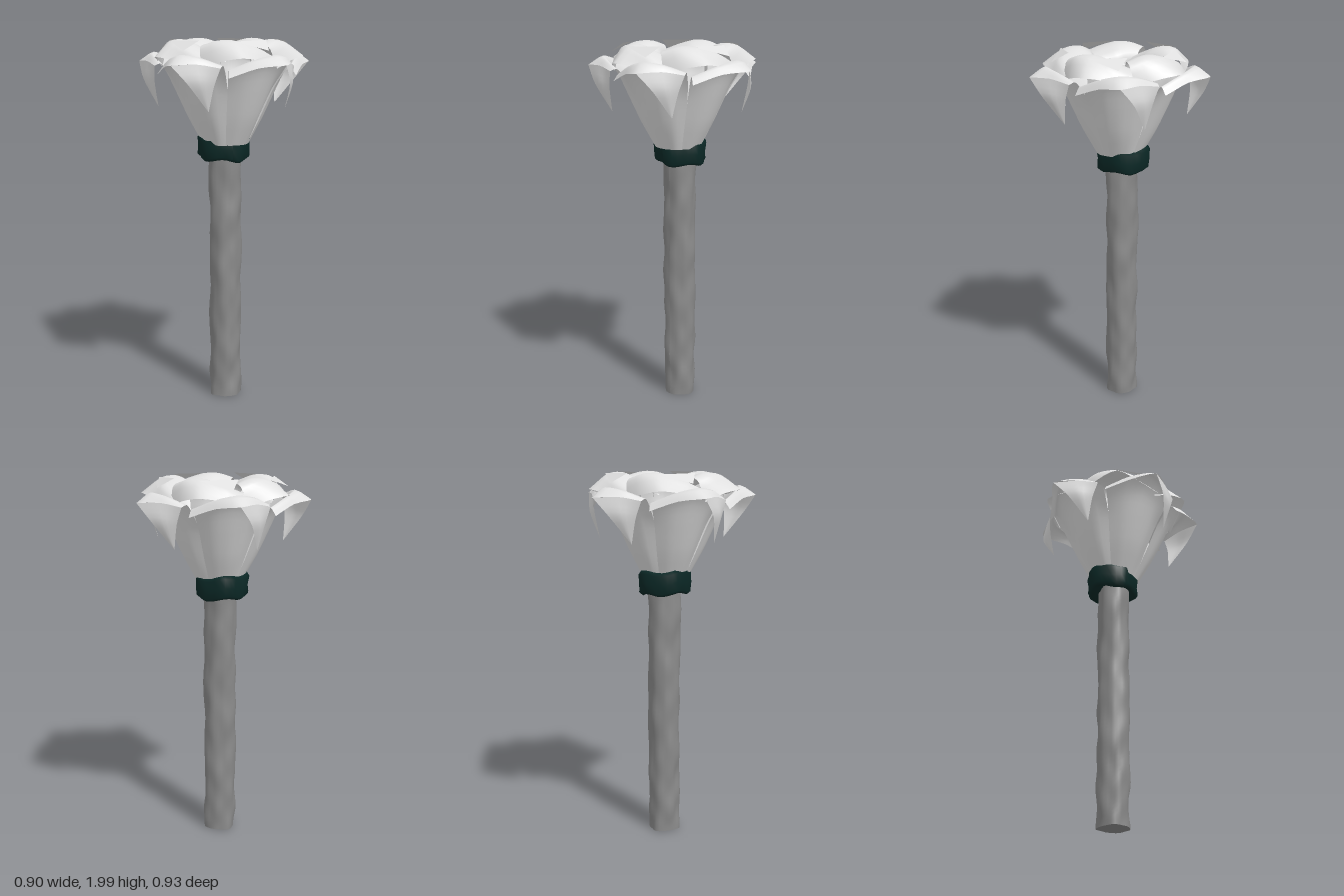
import * as THREE from 'three';

const CX = -0.05, CZ = -0.018;
const petalMat = new THREE.MeshStandardMaterial({ color: 0xe0e0e0, side: THREE.DoubleSide });
petalMat.name = 'petal white';
const stemMat = new THREE.MeshStandardMaterial({ color: 0x8a8a8a });
stemMat.name = 'stem grey';
const collarMat = new THREE.MeshStandardMaterial({ color: 0x0b2826 });
collarMat.name = 'collar dark green';

// point given as angle in degrees, radius and height
function polar([deg, r, y]) {
  const a = THREE.MathUtils.degToRad(deg);
  return new THREE.Vector3(r * Math.cos(a), y, r * Math.sin(a));
}
const spline = (pts) => new THREE.CatmullRomCurve3(pts, false, 'catmullrom', 0.4);

// smooth sheet through rows of polar points
function sheet(rows, nu = 12, nv = 16) {
  const across = rows.map((row) => spline(row.map(polar)));
  const geo = new THREE.PlaneGeometry(1, 1, nu, nv);
  const pos = geo.attributes.position;
  for (let i = 0; i <= nu; i++) {
    const along = spline(across.map((c) => c.getPoint(i / nu)));
    for (let j = 0; j <= nv; j++) {
      const p = along.getPoint(j / nv);
      pos.setXYZ(j * (nu + 1) + i, p.x, p.y, p.z);
    }
  }
  geo.computeVertexNormals();
  return geo;
}

// flat triangles from a list of points
function facets(points) {
  const geo = new THREE.BufferGeometry().setFromPoints(points);
  geo.computeVertexNormals();
  return geo;
}

function add(group, name, geo, mat, deg = 0) {
  const mesh = new THREE.Mesh(geo, mat);
  mesh.name = name;
  mesh.rotation.y = -THREE.MathUtils.degToRad(deg);
  group.add(mesh);
  return mesh;
}

export function createModel() {
  const model = new THREE.Group();
  model.name = 'flower';
  const bloom = new THREE.Group();
  bloom.name = 'bloom';
  bloom.position.set(CX, 0, -0.008);
  model.add(bloom);

  // outer petals: a flaring wall rolling over to one pointed corner
  const outer = sheet([
    [[-38, 0.12, 1.43], [-18, 0.125, 1.43], [0, 0.125, 1.43], [18, 0.125, 1.43], [38, 0.12, 1.43]],
    [[-37, 0.18, 1.57], [-18, 0.2, 1.57], [0, 0.205, 1.57], [18, 0.2, 1.57], [37, 0.19, 1.57]],
    [[-36, 0.25, 1.72], [-18, 0.27, 1.72], [0, 0.275, 1.72], [18, 0.27, 1.72], [36, 0.26, 1.72]],
    [[-34, 0.31, 1.81], [-16, 0.32, 1.82], [0, 0.33, 1.84], [17, 0.32, 1.82], [36, 0.31, 1.8]],
    [[-32, 0.35, 1.86], [-15, 0.38, 1.9], [0, 0.4, 1.915], [16, 0.375, 1.89], [36, 0.35, 1.84]],
    [[-30, 0.385, 1.85], [-14, 0.42, 1.87], [0, 0.49, 1.865], [15, 0.415, 1.85], [36, 0.385, 1.8]],
  ]);
  // pointed flap folded down along one side of the corner
  const flap = sheet([
    [[0, 0.49, 1.865], [-14, 0.42, 1.87], [-30, 0.385, 1.85]],
    [[-9, 0.445, 1.77], [-17, 0.42, 1.77], [-25, 0.38, 1.76]],
    [[-20, 0.36, 1.63], [-20, 0.36, 1.63], [-20, 0.36, 1.63]],
  ], 6, 8);

  // inner petals: rise steeply inside the bowl and roll outward to a corner
  const inner = sheet([
    [[-34, 0.08, 1.45], [-15, 0.09, 1.45], [0, 0.09, 1.45], [15, 0.09, 1.45], [34, 0.08, 1.45]],
    [[-46, 0.15, 1.72], [-22, 0.14, 1.72], [0, 0.14, 1.72], [18, 0.15, 1.72], [36, 0.17, 1.72]],
    [[-56, 0.15, 1.88], [-26, 0.125, 1.9], [0, 0.12, 1.91], [18, 0.15, 1.92], [34, 0.2, 1.92]],
    [[-50, 0.24, 1.91], [-26, 0.22, 1.95], [0, 0.21, 1.98], [18, 0.23, 1.98], [34, 0.26, 1.96]],
    [[-48, 0.32, 1.89], [-26, 0.32, 1.94], [-2, 0.31, 1.975], [16, 0.31, 1.97], [32, 0.31, 1.94]],
    [[-46, 0.36, 1.85], [-25, 0.365, 1.88], [-5, 0.415, 1.9], [12, 0.37, 1.88], [28, 0.34, 1.84]],
  ]);
  // small triangular tip standing on each roll
  const tip = facets([
    new THREE.Vector3(0.32, 1.98, 0),
    new THREE.Vector3(0.32, 1.935, -0.18),
    new THREE.Vector3(0.23, 1.985, -0.18),
  ]);

  for (let i = 0; i < 5; i++) {
    add(bloom, 'outerPetal', outer, petalMat, 1 + i * 72);
    add(bloom, 'outerPetalFlap', flap, petalMat, 1 + i * 72);
    add(bloom, 'innerPetal', inner, petalMat, 32 + i * 72);
    add(bloom, 'innerPetalTip', tip, petalMat, 32 + i * 72);
  }

  // pinwheel of folded facets in the heart of the bloom
  const fan = [];
  for (let i = 0; i < 5; i++) {
    const ridge = polar([14 + i * 72, 0.14, 1.92]);
    const valley = polar([38 + i * 72, 0.15, 1.87]);
    const next = polar([86 + i * 72, 0.14, 1.92]);
    const mid = new THREE.Vector3(0, 1.9, 0);
    fan.push(mid, valley, ridge, mid, next, valley);
  }
  add(bloom, 'heart', facets(fan), petalMat);

  // stem with a gnarled, grooved surface
  const stemGeo = new THREE.CylinderGeometry(0.087, 0.084, 1.45, 28, 60);
  const sp = stemGeo.attributes.position;
  for (let i = 0; i < sp.count; i++) {
    const x = sp.getX(i), y = sp.getY(i) + 0.725, z = sp.getZ(i);
    const a = Math.atan2(z, x);
    const low = Math.max(0, 1 - y / 0.5);
    const k = 1 + 0.035 * Math.sin(3 * a + 2 * Math.sin(3 * y))
      + 0.04 * Math.sin(2 * a + 1) * Math.sin(17 * y)
      + 0.03 * Math.sin(7 * a + 1.5 * Math.sin(6 * y))
      + (0.025 + 0.04 * low) * Math.sin(4 * a + 2) * Math.sin(31 * y + 1)
      + 0.02 * Math.sin(24 * y + a);
    sp.setXYZ(i, x * k, y, z * k);
  }
  stemGeo.computeVertexNormals();
  add(model, 'stem', stemGeo, stemMat).position.set(CX, 0, CZ);

  // lumpy collar under the bloom
  const ring = [[0.07, 1.36], [0.12, 1.34], [0.138, 1.355], [0.138, 1.4], [0.142, 1.45],
    [0.13, 1.468], [0.105, 1.462], [0.07, 1.44], [0.07, 1.36]];
  const collarGeo = new THREE.LatheGeometry(ring.map(([r, y]) => new THREE.Vector2(r, y)), 30);
  const cp = collarGeo.attributes.position;
  for (let i = 0; i < cp.count; i++) {
    const x = cp.getX(i), y = cp.getY(i), z = cp.getZ(i);
    const a = Math.atan2(z, x);
    const k = 1 + 0.04 * Math.sin(5 * a + 1) + 0.025 * Math.sin(8 * a + 40 * y);
    cp.setXYZ(i, x * k, y + 0.008 * Math.sin(4 * a) - 0.05 * x, z * k);
  }
  collarGeo.computeVertexNormals();
  add(model, 'collar', collarGeo, collarMat).position.set(CX - 0.005, 0, CZ - 0.01);

  return model;
}
